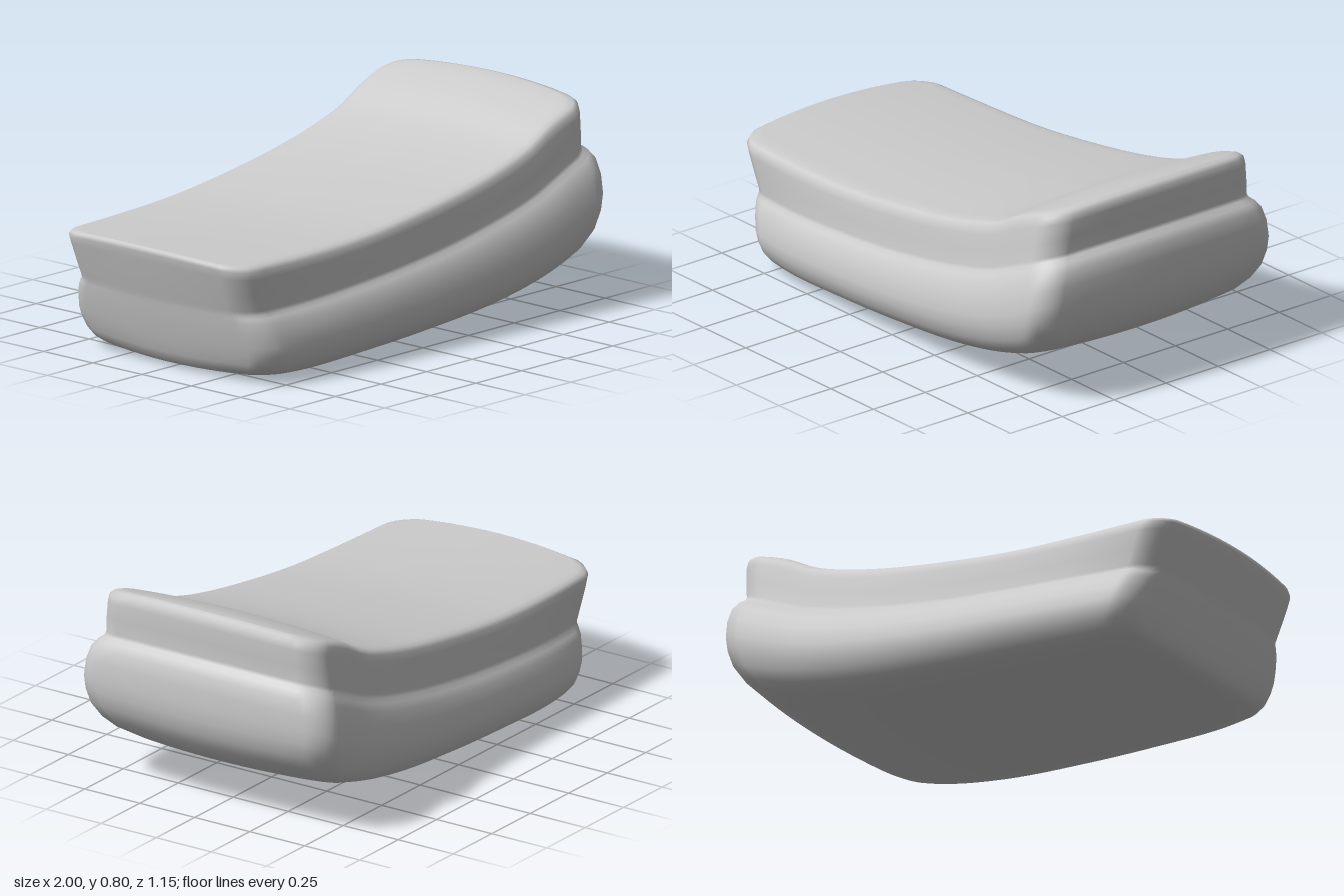
import * as THREE from 'three';

// Smooth height curve through (x, value) pairs
function curve(points) {
  const spline = new THREE.CubicInterpolant(points.map(p => p[0]), points.map(p => p[1]), 1);
  return x => spline.evaluate(x)[0];
}

const bottomY = curve([[-1, 0.012], [-0.8, 0.005], [-0.6, 0], [-0.3, 0.012], [0, 0.028],
  [0.4, 0.065], [0.7, 0.125], [0.85, 0.18], [1, 0.265]]);
const seamY = curve([[-1, 0.28], [-0.7, 0.29], [-0.4, 0.31], [0, 0.35], [0.3, 0.40],
  [0.6, 0.475], [0.8, 0.56], [0.9, 0.60], [1, 0.62]]);
const topY = curve([[-1, 0.49], [-0.6, 0.492], [-0.3, 0.505], [0, 0.54], [0.3, 0.59],
  [0.5, 0.64], [0.6, 0.675], [0.7, 0.73], [0.8, 0.77], [0.9, 0.797], [1, 0.80]]);
// Width narrows towards the -x end
const taper = curve([[-1, 0.80], [-0.85, 0.86], [-0.6, 0.93], [-0.3, 0.965], [0, 0.98], [0.5, 1], [1, 1]]);

// Rounded rectangle in plan with bowed ends, as [x, z] points
function outline(x0, x1, halfWidth, radius) {
  const pts = [], arc = 8, cx = (x0 + x1) / 2, hx = (x1 - x0) / 2;
  const corners = [[1, 1, 0], [-1, 1, 1], [-1, -1, 2], [1, -1, 3]];
  corners.forEach(([sx, sz, q], i) => {
    for (let k = 0; k <= arc; k++) {
      const a = (q + k / arc) * Math.PI / 2;
      pts.push([cx + sx * (hx - radius) + radius * Math.cos(a), sz * (halfWidth - radius) + radius * Math.sin(a)]);
    }
    // Points along the straight edge to the next corner
    const [ax, az] = pts[pts.length - 1], n = i % 2 ? 12 : 36;
    const [nx, nz] = corners[(i + 1) % 4];
    const a = (q + 1) * Math.PI / 2;
    const bx = cx + nx * (hx - radius) + radius * Math.cos(a);
    const bz = nz * (halfWidth - radius) + radius * Math.sin(a);
    for (let k = 1; k < n; k++) pts.push([ax + (bx - ax) * k / n, az + (bz - az) * k / n]);
  });
  return pts.map(([x, z]) => {
    const end = Math.max(0, Math.abs((x - cx) / hx) - 0.6) / 0.4;
    return [x - Math.sign(x - cx) * 0.04 * end * (z / halfWidth) ** 2, z];
  });
}

// Levels: [height (0 bottom, 1 seam, 2 top), x at -x end, x at +x end, half width]
const levels = [
  [0, -0.80, 0.84, 0.45], [0.03, -0.835, 0.90, 0.50], [0.09, -0.855, 0.945, 0.53],
  [0.2, -0.87, 0.98, 0.557], [0.35, -0.885, 0.995, 0.571], [0.5, -0.898, 1, 0.575],
  [0.7, -0.914, 1, 0.565], [0.86, -0.925, 0.993, 0.547], [0.95, -0.931, 0.975, 0.528],
  [1, -0.935, 0.955, 0.513], [1.08, -0.941, 0.95, 0.508], [1.4, -0.964, 0.956, 0.502],
  [1.75, -0.988, 0.96, 0.494], [1.9, -0.998, 0.957, 0.488], [1.97, -0.998, 0.945, 0.475],
  [2, -0.988, 0.925, 0.455],
];

function ring([h, x0, x1, halfWidth], squeeze = 1) {
  const keep = THREE.MathUtils.clamp(1.4 - 0.55 * h, 0.35, 1);
  return outline(x0, x1, halfWidth, 0.1).map(([x, zFull]) => {
    const z = zFull * squeeze * (1 - keep * (1 - taper(x)));
    const crown = 0.02 * (z / 0.46) ** 2;
    const low = bottomY(x) + crown, mid = seamY(x) - crown * 0.5, high = topY(x) - crown;
    const y = h <= 1 ? low + (mid - low) * h : mid + (high - mid) * (h - 1);
    return [x, y, z];
  });
}

export function createModel() {
  // Underside, walls with seam step, then the dished top
  const fill = [0, 0.25, 0.5, 0.75, 0.92];
  const rings = [
    ...fill.map(k => ring(levels[0], k)),
    ...levels.map(l => ring(l)),
    ...fill.slice().reverse().map(k => ring(levels[levels.length - 1], k)),
  ];
  const n = rings[0].length, index = [];
  for (let r = 0; r < rings.length - 1; r++) {
    for (let j = 0; j < n; j++) {
      const a = r * n + j, b = r * n + (j + 1) % n;
      index.push(a, a + n, b, b, a + n, b + n);
    }
  }
  const geometry = new THREE.BufferGeometry();
  geometry.setAttribute('position', new THREE.Float32BufferAttribute(rings.flat(2), 3));
  geometry.setIndex(index);
  geometry.computeVertexNormals();

  const cushion = new THREE.Mesh(geometry, new THREE.MeshStandardMaterial({ color: 0xcccccc }));
  cushion.name = 'seatCushion';
  const group = new THREE.Group();
  group.name = 'cushion';
  group.add(cushion);
  return group;
}
